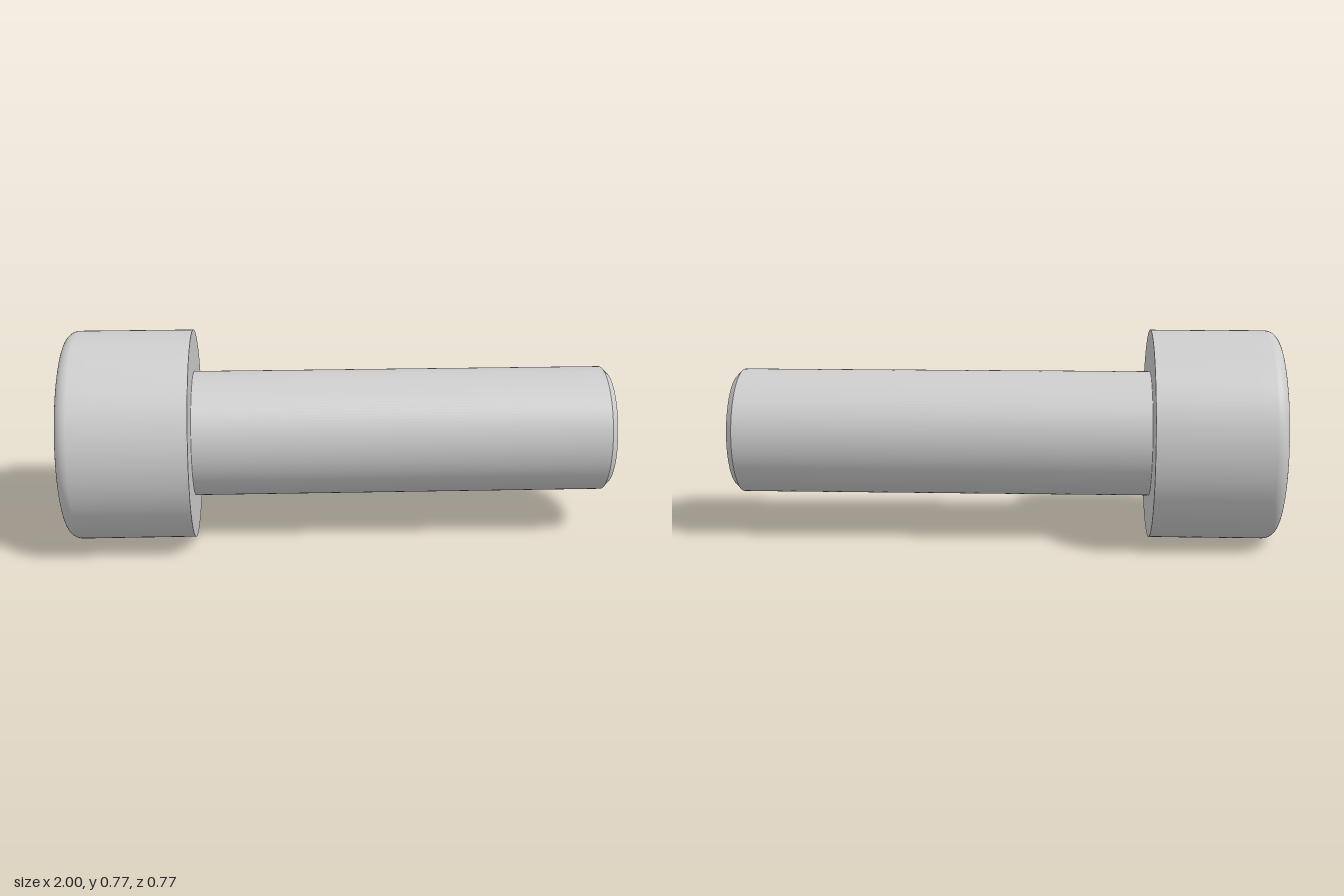
import * as THREE from 'three';

// Sizes: head, shank and hex socket
const HEAD_R = 0.385, SHANK_R = 0.231, HEAD_END = -0.538;
const FILLET = 0.046, CHAMFER = 0.023;
const SOCKET_R = 0.222, SOCKET_DEPTH = 0.231;

export function createModel() {
  const model = new THREE.Group();
  model.name = 'socketHeadScrew';

  // The screw is turned around y, then laid along x
  const screw = new THREE.Group();
  screw.name = 'screw';
  screw.rotation.z = -Math.PI / 2;
  screw.position.y = HEAD_R;
  model.add(screw);

  const smooth = new THREE.MeshStandardMaterial({ color: 0xcccccc });
  const flat = new THREE.MeshStandardMaterial({ color: 0xcccccc, flatShading: true });

  const add = (name, geometry, material = smooth) => {
    const mesh = new THREE.Mesh(geometry, material);
    mesh.name = name;
    screw.add(mesh);
    return mesh;
  };
  // Separate turned sections keep the edges between them sharp
  const turn = (name, points) =>
    add(name, new THREE.LatheGeometry(points.map(([r, y]) => new THREE.Vector2(r, y)), 128));

  // Head side, with a rounded outer rim
  const headProfile = [];
  for (let i = 0; i <= 10; i++) {
    const a = (i / 10) * Math.PI / 2;
    headProfile.push([
      HEAD_R - FILLET + FILLET * Math.sin(a),
      -1 + FILLET - FILLET * Math.cos(a),
    ]);
  }
  headProfile.push([HEAD_R, -0.9], [HEAD_R, HEAD_END]);
  turn('headSide', headProfile);
  turn('headUnderside', [[HEAD_R, HEAD_END], [SHANK_R, HEAD_END]]);

  // Shank, chamfer and flat tip
  turn('shank', [[SHANK_R, HEAD_END], [SHANK_R, 1 - CHAMFER]]);
  turn('tipChamfer', [[SHANK_R, 1 - CHAMFER], [SHANK_R - CHAMFER, 1]]);
  turn('tipFace', [[SHANK_R - CHAMFER, 1], [0, 1]]);

  // Flat head face with a hexagonal opening
  const face = new THREE.Shape().absarc(0, 0, HEAD_R - FILLET, 0, Math.PI * 2);
  const hex = [];
  for (let i = 0; i < 6; i++) {
    const a = (i * Math.PI) / 3;
    hex.push(new THREE.Vector2(SOCKET_R * Math.cos(a), SOCKET_R * Math.sin(a)));
  }
  face.holes.push(new THREE.Path(hex));
  const headFace = add('headFace', new THREE.ShapeGeometry(face, 64));
  headFace.rotation.x = Math.PI / 2;
  headFace.position.y = -1;

  // Socket floor and six walls, facing into the recess
  const floorY = -1 + SOCKET_DEPTH;
  const socketProfile = [[0, floorY], [SOCKET_R, floorY], [SOCKET_R, -1]]
    .map(([r, y]) => new THREE.Vector2(r, y));
  add('hexSocket', new THREE.LatheGeometry(socketProfile, 6, Math.PI / 2), flat);

  return model;
}
